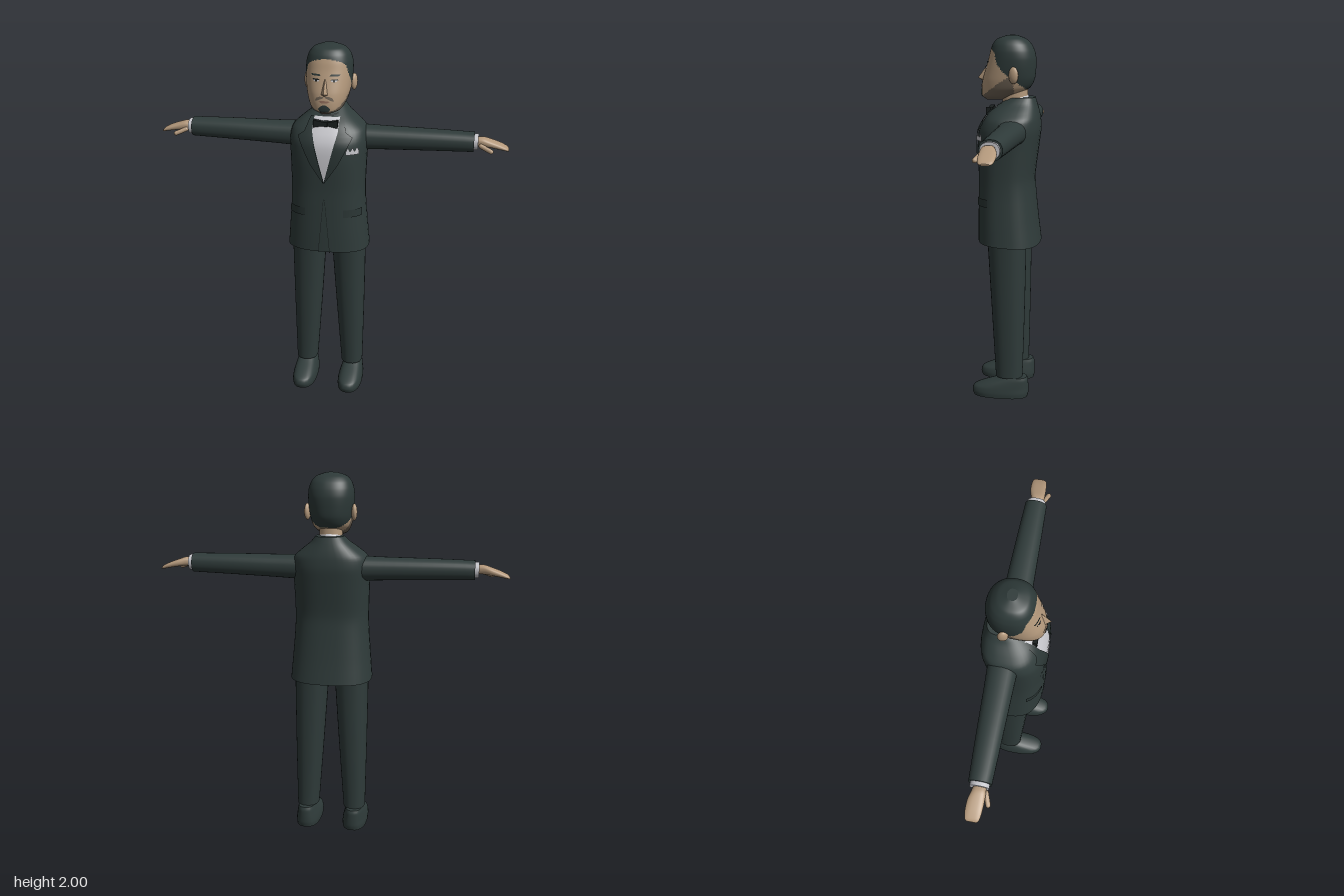
import * as THREE from 'three';
import { ConvexGeometry } from 'three/addons/geometries/ConvexGeometry.js';

const mat = (name, color, side = THREE.FrontSide) => {
  const m = new THREE.MeshStandardMaterial({ color, side });
  m.name = name;
  return m;
};
const D = THREE.DoubleSide;
const M = {
  suit: mat('suit cloth', 0x2f3b3a),
  satin: mat('satin trim', 0x2a3534, D),
  shirt: mat('white shirt', 0xc6c6cb, D),
  skin: mat('skin', 0xb59a7d),
  hair: mat('hair', 0x2d3938, D),
  stubble: mat('stubble', 0x6f6355, D),
  dark: mat('dark detail', 0x191e1e, D),
  lip: mat('lips', 0x8f6c5a, D),
};

// rings are [y, halfWidth, frontZ, backZ, centreX]; this smooths them
function refine(rings, sub) {
  const a = new THREE.CatmullRomCurve3(rings.map(r => new THREE.Vector3(r[0], r[1], r[4] || 0)), false, 'catmullrom', 0.4);
  const b = new THREE.CatmullRomCurve3(rings.map(r => new THREE.Vector3(r[2], r[3], 0)), false, 'catmullrom', 0.4);
  const n = (rings.length - 1) * sub;
  return Array.from({ length: n + 1 }, (_, i) => {
    const p = a.getPoint(i / n), q = b.getPoint(i / n);
    return [p.x, p.y, q.x, q.y, p.z];
  });
}

// closed skin over superellipse rings; pick(x, y, z) chooses a material group
function loft(rings, { n = 28, sub = 4, e = 2.3, groups = 1, pick = () => 0 } = {}) {
  const R = refine(rings, sub), pos = [], idx = Array.from({ length: groups }, () => []);
  const addRing = ([y, w, f, b, cx]) => {
    for (let i = 0; i < n; i++) {
      const t = i / n * Math.PI * 2, c = Math.cos(t), s = Math.sin(t);
      pos.push(cx + w * Math.sign(c) * Math.abs(c) ** (2 / e), y,
        (f + b) / 2 + (f - b) / 2 * Math.sign(s) * Math.abs(s) ** (2 / e));
    }
  };
  R.forEach(addRing);
  for (let k = 0; k < R.length - 1; k++) for (let i = 0; i < n; i++) {
    const a = k * n + i, b = k * n + (i + 1) % n, c = a + n, d = b + n;
    const mid = j => (pos[a * 3 + j] + pos[d * 3 + j]) / 2;
    idx[pick(mid(0), mid(1), mid(2))].push(a, c, b, b, c, d);
  }
  [R[0], R[R.length - 1]].forEach((r, top) => {
    const s = pos.length / 3;
    addRing(r);
    pos.push(r[4], r[0], (r[2] + r[3]) / 2);
    const g = idx[pick(r[4], r[0], (r[2] + r[3]) / 2)];
    for (let i = 0; i < n; i++) {
      const a = s + i, b = s + (i + 1) % n;
      g.push(s + n, top ? b : a, top ? a : b);
    }
  });
  const geo = new THREE.BufferGeometry();
  geo.setAttribute('position', new THREE.Float32BufferAttribute(pos, 3));
  geo.setIndex(idx.flat());
  let start = 0;
  if (groups > 1) idx.forEach((l, i) => { geo.addGroup(start, l.length, i); start += l.length; });
  geo.computeVertexNormals();
  return geo;
}

// front surface height of a loft, pushed out by o
function frontZ(R, e, x, y, o) {
  let k = R.findIndex(r => r[0] >= y);
  k = k < 0 ? R.length - 1 : Math.max(k, 1);
  const A = R[k - 1], B = R[k], t = THREE.MathUtils.clamp((y - A[0]) / (B[0] - A[0]), 0, 1);
  const [w, f, b] = [1, 2, 3].map(j => A[j] + (B[j] - A[j]) * t);
  const u = Math.min(1, Math.abs(x) / (w + o));
  return (f + b) / 2 + ((f - b) / 2 + o) * (1 - u ** e) ** (1 / e);
}

// thin panel lying on a loft; rows are [y, x0, x1]
function panel(surface, e, rows, o, mirror = 1) {
  const pos = [], idx = [], cols = 10, sub = 8, total = (rows.length - 1) * sub;
  for (let k = 0; k <= total; k++) {
    const i = Math.min(Math.floor(k / sub), rows.length - 2), t = k / sub - i;
    const [y, x0, x1] = [0, 1, 2].map(j => rows[i][j] + (rows[i + 1][j] - rows[i][j]) * t);
    for (let c = 0; c <= cols; c++) {
      const x = mirror * (x0 + (x1 - x0) * c / cols), a = k * (cols + 1) + c, b = a + cols + 1;
      pos.push(x, y, frontZ(surface, e, x, y, o));
      if (k < total && c < cols) idx.push(...(mirror > 0 ? [a, a + 1, b, b, a + 1, b + 1] : [a, b, a + 1, b, b + 1, a + 1]));
    }
  }
  const geo = new THREE.BufferGeometry();
  geo.setAttribute('position', new THREE.Float32BufferAttribute(pos, 3));
  geo.setIndex(idx);
  geo.computeVertexNormals();
  return geo;
}

const TORSO = [[.885, .225, .16, -.18], [1, .215, .16, -.165], [1.15, .203, .158, -.15], [1.25, .2, .157, -.145],
  [1.4, .204, .162, -.163], [1.5, .208, .155, -.175], [1.56, .197, .125, -.172], [1.6, .155, .095, -.165],
  [1.64, .105, .045, -.155], [1.675, .075, -.01, -.145]];
const HEAD = [[1.66, .03, .12, .03], [1.68, .075, .142, -.02], [1.72, .1, .145, -.11], [1.77, .113, .138, -.14],
  [1.83, .12, .12, -.147], [1.88, .122, .105, -.147], [1.92, .118, .095, -.138], [1.955, .105, .082, -.12],
  [1.982, .08, .058, -.09], [2, .03, .005, -.045]];
const HAIRLINE = [[-.2, 1.72], [-.1, 1.72], [-.07, 1.75], [-.03, 1.78], [0, 1.8], [.045, 1.85], [.06, 1.91], [.09, 1.937], [.3, 1.937]];
const hairline = z => {
  const k = HAIRLINE.findIndex(p => p[0] > z), [a, b] = [HAIRLINE[k - 1], HAIRLINE[k]];
  return a[1] + (b[1] - a[1]) * (z - a[0]) / (b[0] - a[0]);
};

export function createModel() {
  const root = new THREE.Group();
  const add = (name, geo, material) => {
    const m = new THREE.Mesh(geo, material);
    m.name = name;
    root.add(m);
    return m;
  };
  const torso = refine(TORSO, 4), head = refine(HEAD, 8);
  const onTorso = (name, rows, o, m, s) => add(name, panel(torso, 2.6, rows, o, s), m);
  const onHead = (name, rows, o, m, s) => add(name, panel(head, 2.3, rows, o, s), m);

  // jacket, with its hem dipping towards the back
  const jacket = loft(TORSO, { n: 40, e: 2.6 }), p = jacket.attributes.position;
  for (let i = 0; i < p.count; i++) if (p.getY(i) < .89) p.setY(i, p.getY(i) + p.getZ(i) * .05);
  add('jacket', jacket, M.suit);
  onTorso('shirtFront', [[1.3, 0, 0], [1.59, -.075, .075], [1.63, -.07, .07]], .003, M.shirt);
  for (const s of [1, -1]) {
    onTorso('lapel', [[1.295, 0, .004], [1.4, .026, .075], [1.54, .062, .145], [1.565, .068, .11], [1.63, .068, .088]], .008, M.satin, s);
    onTorso('pocketFlap', [[1.1, .103, .197], [1.143, .103, .195]], .006, M.satin, s);
    onTorso('frontEdge', [[.89, .03, .033], [1.2, .002, .004]], .002, M.dark, s);
  }
  onTorso('pocketSquare', [[1.455, .115, .18], [1.472, .115, .18]], .01, M.shirt);
  for (const x of [.115, .137, .158]) onTorso('pocketSquarePeak', [[1.472, x, x + .022], [1.495, x + .011, x + .011]], .01, M.shirt);

  // neck, collar and bow tie
  add('neck', loft([[1.6, .066, .035, -.105], [1.66, .062, .032, -.105], [1.74, .06, .03, -.105]]), M.skin);
  const collar = new THREE.CylinderGeometry(.075, .084, .05, 32, 1, true).scale(1, 1, 1.12).rotateX(.3).translate(0, 1.638, -.032);
  add('shirtCollar', collar, M.shirt);
  const wing = new THREE.Shape([[.008, -.01], [.064, -.02], [.064, .02], [.008, .01]].map(q => new THREE.Vector2(...q)));
  for (const s of [0, Math.PI]) {
    const g = new THREE.ExtrudeGeometry(wing, { depth: .024, bevelEnabled: false }).translate(0, 0, -.012);
    add('bowTieWing', g.rotateY(s).translate(0, 1.603, .1), M.dark);
  }
  add('bowTieKnot', new THREE.BoxGeometry(.022, .024, .032).translate(0, 1.603, .1), M.dark);

  // head with hair and jaw stubble as faces of one skin
  const pick = (x, y, z) => {
    if (y > hairline(z)) return 1;
    return z > -.04 && y < 1.78 - Math.max(0, z) * .72 && (Math.abs(x) > .045 || y < 1.69) ? 2 : 0;
  };
  add('head', loft(HEAD, { n: 96, sub: 8, groups: 3, pick }), [M.skin, M.hair, M.stubble]);
  const nose = [[0, 1.85, .112], [0, 1.775, .167], [0, 1.757, .14], [.022, 1.763, .13], [-.022, 1.763, .13], [.01, 1.84, .105], [-.01, 1.84, .105], [0, 1.765, .1]];
  add('nose', new ConvexGeometry(nose.map(q => new THREE.Vector3(...q))), M.skin);
  for (const s of [1, -1]) {
    const ear = new THREE.SphereGeometry(1, 16, 12).scale(.016, .044, .027).rotateY(s * -.25);
    add('ear', ear.translate(s * .125, 1.797, -.045), M.skin);
    onHead('eyebrow', [[1.857, .022, .07], [1.866, .03, .075]], .004, M.hair, s);
    onHead('eyeWhite', [[1.829, .034, .058], [1.838, .03, .064]], .002, M.shirt, s);
    onHead('iris', [[1.829, .041, .051], [1.838, .04, .052]], .004, M.dark, s);
    onHead('eyelid', [[1.837, .027, .068], [1.843, .034, .062]], .004, M.dark, s);
    onHead('moustache', [[1.735, .04, .05], [1.75, .006, .042], [1.757, .004, .025]], .002, M.stubble, s);
  }
  onHead('mouth', [[1.724, -.014, .014], [1.731, -.028, .028], [1.736, -.02, .02]], .003, M.lip);
  onHead('goatee', [[1.675, -.018, .018], [1.692, -.032, .032], [1.702, -.026, .026], [1.715, -.007, .007]], .004, M.hair);

  for (const s of [1, -1]) {
    // arms: rings run outwards along x as [x, halfHeight, frontZ, backZ, height]
    const along = (rings, o) => loft(rings.map(r => [r[0], r[1], r[2], r[3], -s * r[4]]), o).rotateZ(-s * Math.PI / 2);
    add('sleeve', along([[.15, .066, .037, -.12, 1.5], [.3, .061, .032, -.113, 1.502], [.55, .056, .026, -.104, 1.505], [.765, .051, .02, -.095, 1.506]]), M.suit);
    add('cuff', along([[.75, .041, .01, -.085, 1.507], [.786, .041, .01, -.085, 1.507]]), M.shirt);
    add('hand', along([[.77, .023, -.005, -.062, 1.51], [.81, .024, 0, -.072, 1.511], [.85, .02, 0, -.083, 1.503],
      [.9, .015, -.003, -.085, 1.49], [.935, .01, -.01, -.08, 1.478], [.946, .004, -.022, -.068, 1.472]], { e: 2.6 }), M.skin);
    const thumb = new THREE.CapsuleGeometry(.0125, .06, 6, 12).rotateZ(-s * (Math.PI / 2 + .35)).rotateY(-s * .35);
    add('thumb', thumb.translate(s * .828, 1.485, .008), M.skin);

    // trousers and shoes
    add('trouserLeg', loft([[.12, .061, .05, -.1, s * .134], [.5, .078, .073, -.109, s * .123], [.91, .094, .098, -.115, s * .111]]), M.suit);
    add('shoe', loft([[0, .069, .178, -.13, s * .135], [.025, .07, .186, -.135, s * .135], [.052, .066, .175, -.135, s * .135],
      [.075, .06, .125, -.134, s * .136], [.1, .052, .055, -.132, s * .137], [.118, .045, .01, -.125, s * .137]], { e: 2.5 }), M.suit);
  }
  add('trouserSeat', loft([[.84, .03, .05, -.07], [.87, .09, .085, -.105], [.92, .16, .098, -.115]]), M.suit);
  return root;
}
